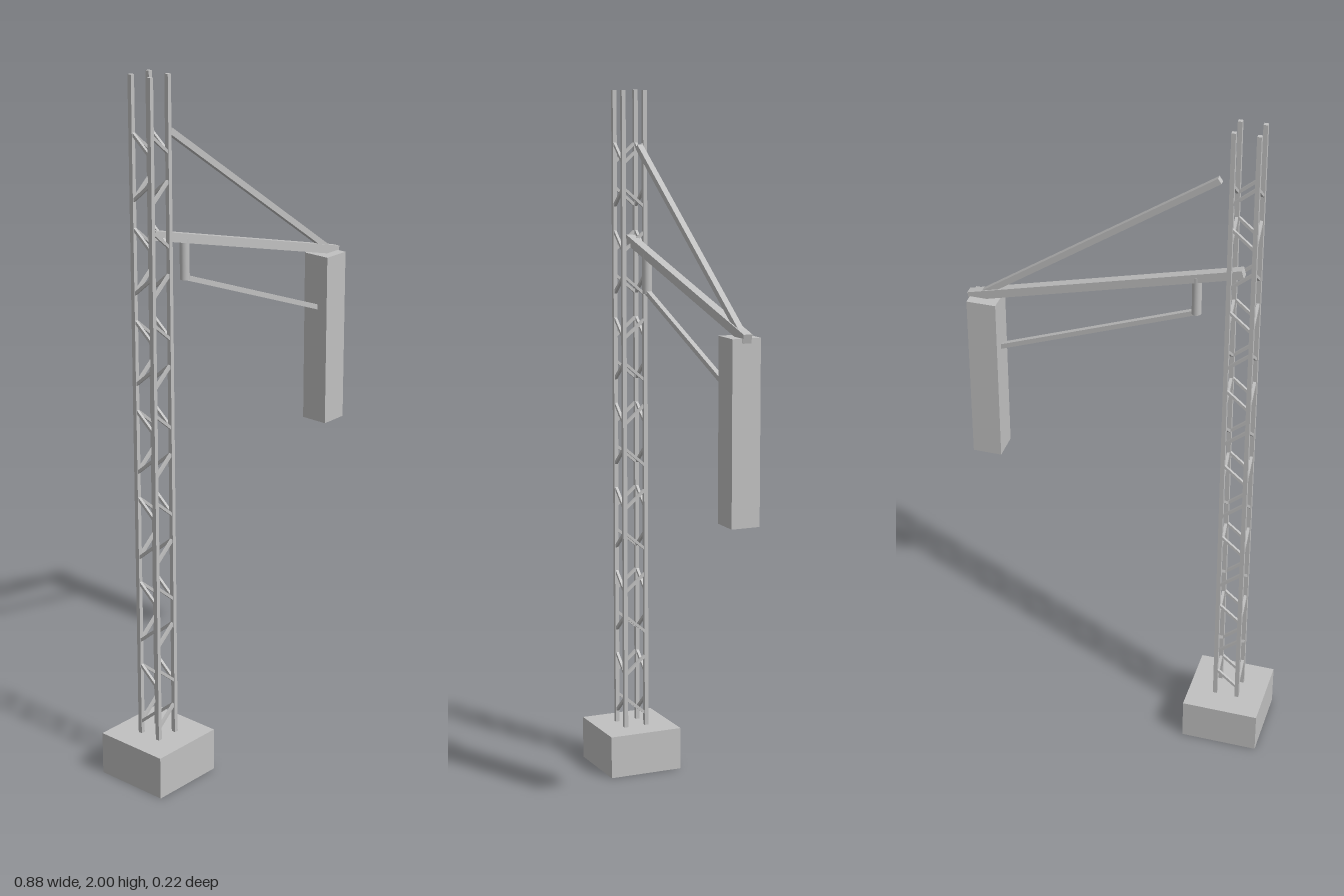
import * as THREE from 'three';

export function createModel() {
  const group = new THREE.Group();
  const steel = new THREE.MeshStandardMaterial({ color: 0xc0c0c0 });
  steel.name = 'pale grey';

  const add = (name, geometry, x, y, z, parent = group) => {
    const mesh = new THREE.Mesh(geometry, steel);
    mesh.name = name;
    mesh.position.set(x, y, z);
    parent.add(mesh);
    return mesh;
  };

  // Straight square bar between two points
  const bar = (name, a, b, thickness, parent = group) => {
    const from = new THREE.Vector3(...a), to = new THREE.Vector3(...b);
    const dir = to.clone().sub(from);
    const mid = from.clone().add(to).multiplyScalar(0.5);
    const mesh = add(name, new THREE.BoxGeometry(thickness, dir.length(), thickness), mid.x, mid.y, mid.z, parent);
    mesh.quaternion.setFromUnitVectors(new THREE.Vector3(0, 1, 0), dir.normalize());
    return mesh;
  };

  const mastX = -0.332, half = 0.033, baseHeight = 0.125;

  // Foundation block
  add('foundation', new THREE.BoxGeometry(0.223, baseHeight, 0.223), mastX, baseHeight / 2, 0);

  // Lattice mast: four legs and alternating diagonal braces on each side
  const mast = new THREE.Group();
  mast.name = 'mast';
  group.add(mast);
  for (const sx of [-1, 1]) for (const sz of [-1, 1]) {
    add('mastLeg', new THREE.BoxGeometry(0.012, 2 - baseHeight, 0.012),
      mastX + sx * half, (2 + baseHeight) / 2, sz * half, mast);
  }
  for (let i = 0; i < 14; i++) {
    const y = 0.187 + i * 0.1258;
    const rise = (i % 2 ? -1 : 1) * 0.028;
    for (const s of [-1, 1]) {
      bar('brace', [mastX - half, y - rise, s * half], [mastX + half, y + rise, s * half], 0.008, mast);
      bar('brace', [mastX + s * half, y - rise, -half], [mastX + s * half, y + rise, half], 0.008, mast);
    }
  }

  // Cantilever arm with its upper tie
  bar('mainArm', [-0.33, 1.577, 0], [0.437, 1.374, 0], 0.025);
  bar('upperTie', [-0.26, 1.842, 0], [0.395, 1.389, 0], 0.017);

  // Round hanger under the arm and the steady bar to the drop post
  add('hanger', new THREE.CylinderGeometry(0.0135, 0.0135, 0.115, 12), -0.205, 1.4875, 0);
  bar('steadyBar', [-0.205, 1.435, 0], [0.37, 1.214, 0], 0.014);

  // Drop post at the end of the arm
  add('dropPost', new THREE.BoxGeometry(0.083, 0.502, 0.082), 0.391, 1.124, 0);

  return group;
}
